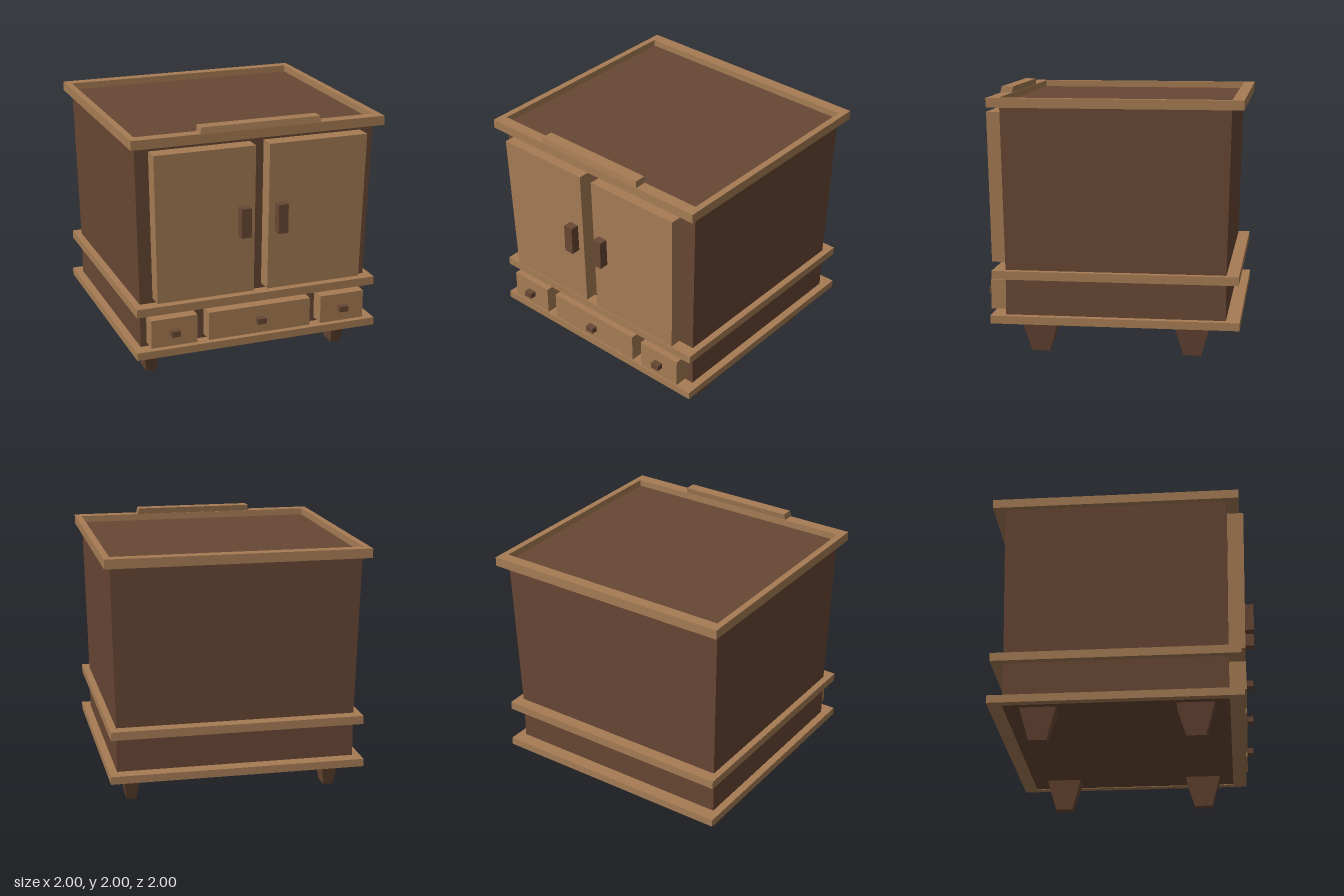
import * as THREE from 'three';

const light = new THREE.MeshStandardMaterial({ color: 0xa67c54, flatShading: true });
const dark = new THREE.MeshStandardMaterial({ color: 0x684734, flatShading: true });

// Box whose bottom and top rectangles [x0, x1, z0, z1] may differ
function taperedBox(name, mat, y0, y1, bottom, top = bottom) {
  const geo = new THREE.BoxGeometry(1, 1, 1);
  const p = geo.attributes.position;
  for (let i = 0; i < p.count; i++) {
    const r = p.getY(i) > 0 ? top : bottom;
    p.setXYZ(i, p.getX(i) > 0 ? r[1] : r[0], p.getY(i) > 0 ? y1 : y0, p.getZ(i) > 0 ? r[3] : r[2]);
  }
  geo.computeVertexNormals();
  const mesh = new THREE.Mesh(geo, mat);
  mesh.name = name;
  return mesh;
}

// Rectangular outline in plan; the shape's y is -z
function outline(path, [x0, x1, z0, z1]) {
  path.moveTo(x0, -z1);
  path.lineTo(x1, -z1);
  path.lineTo(x1, -z0);
  path.lineTo(x0, -z0);
  path.closePath();
  return path;
}

// Moulding that runs around the cabinet as a frame
function moulding(name, y0, y1, outer, inner) {
  const shape = outline(new THREE.Shape(), outer);
  shape.holes.push(outline(new THREE.Path(), inner));
  const geo = new THREE.ExtrudeGeometry(shape, { depth: y1 - y0, bevelEnabled: false });
  geo.rotateX(-Math.PI / 2);
  const mesh = new THREE.Mesh(geo, light);
  mesh.name = name;
  mesh.position.y = y0;
  return mesh;
}

// Rectangle mirrored to the given side
const flip = ([x0, x1, z0, z1], side) => (side > 0 ? [x0, x1, z0, z1] : [-x1, -x0, z0, z1]);

export function createModel() {
  const group = new THREE.Group();
  group.name = 'cabinet';

  // Carcass: straight drawer section, flared cupboard above
  const base = [-0.92, 0.92, -0.88, 0.79];
  const crown = [-0.95, 0.95, -0.91, 0.815];
  group.add(taperedBox('drawerCase', dark, 0.245, 0.61, base));
  group.add(taperedBox('cupboardCase', dark, 0.61, 1.9, base, crown));

  // Mouldings
  group.add(moulding('baseMoulding', 0.24, 0.3, [-0.98, 0.98, -0.985, 0.9], base));
  group.add(moulding('middleMoulding', 0.58, 0.645, [-0.973, 0.973, -0.975, 0.887], base));
  group.add(moulding('topFrame', 1.88, 1.952, [-1, 1, -1, 0.907], crown));
  group.add(taperedBox('crest', light, 1.95, 2, [-0.477, 0.477, 0.82, 0.91], [-0.468, 0.468, 0.81, 0.902]));

  for (const side of [-1, 1]) {
    const tag = side > 0 ? 'left' : 'right';

    // Doors and their handles
    group.add(taperedBox(tag + 'Door', light, 0.685, 1.835,
      flip([0.055, 0.82, 0.78, 0.917], side), flip([0.055, 0.843, 0.8, 0.94], side)));
    group.add(taperedBox(tag + 'DoorHandle', dark, 1.147, 1.375, flip([0.108, 0.186, 0.92, 1], side)));

    // Legs, tapering downwards
    group.add(taperedBox(tag + 'FrontLeg', dark, 0, 0.245,
      flip([0.748, 0.822, 0.47, 0.61], side), flip([0.713, 0.863, 0.4, 0.68], side)));
    group.add(taperedBox(tag + 'BackLeg', dark, 0, 0.245,
      flip([0.748, 0.822, -0.69, -0.555], side), flip([0.713, 0.863, -0.76, -0.485], side)));
  }

  // Drawers with knobs
  for (const [tag, x, halfWidth] of [['right', -0.69, 0.182], ['middle', 0, 0.415], ['left', 0.687, 0.182]]) {
    group.add(taperedBox(tag + 'Drawer', light, 0.33, 0.553, [x - halfWidth, x + halfWidth, 0.78, 0.915]));
    group.add(taperedBox(tag + 'DrawerKnob', dark, 0.417, 0.462, [x - 0.035, x + 0.035, 0.91, 0.965]));
  }

  return group;
}
